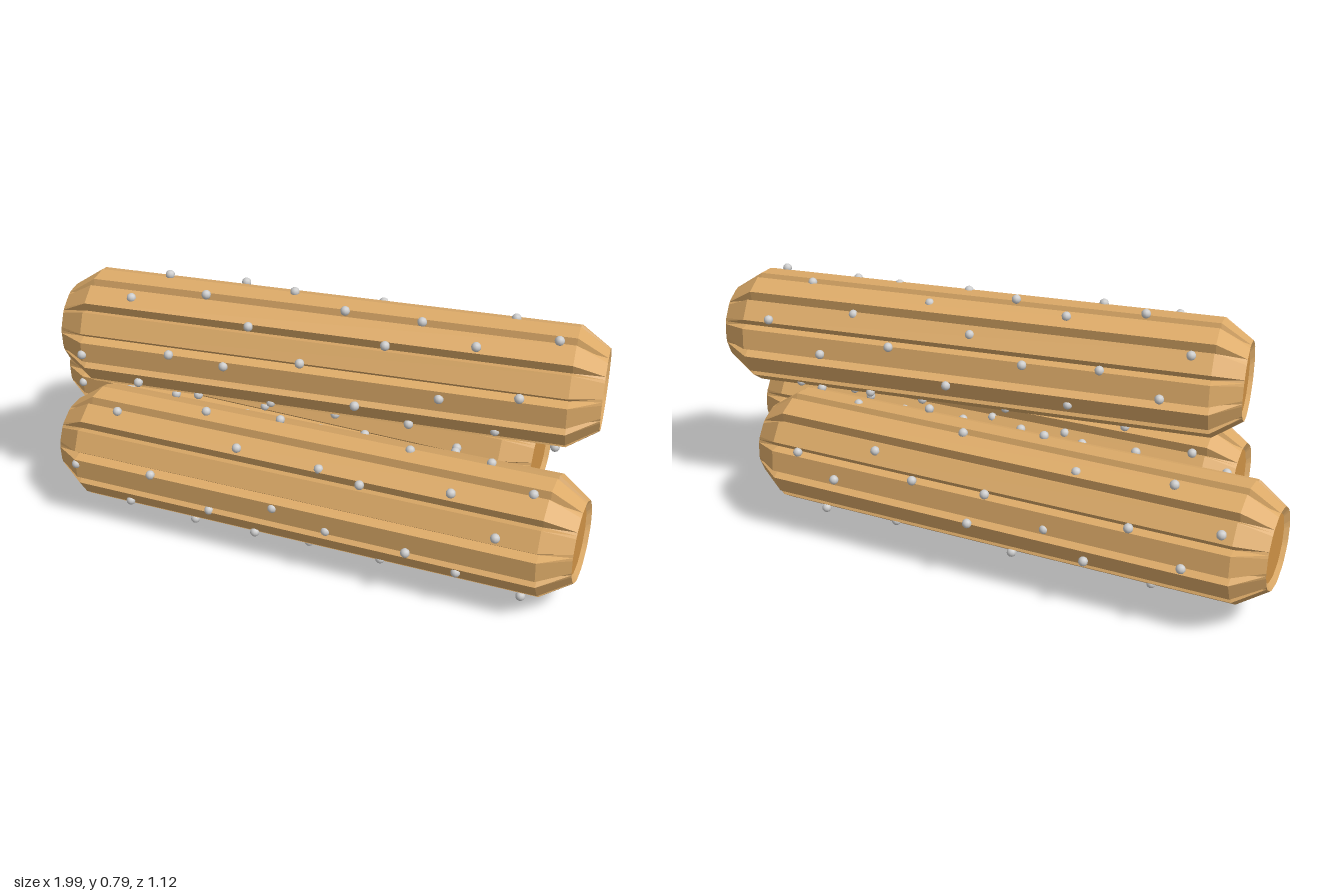
import * as THREE from 'three';

const LENGTH = 1.66, RIDGES = 12;
const R_TOP = 0.182, R_GROOVE = 0.152, R_RIM = 0.122, R_DISC = 0.102;
const BEVEL = 0.09, RECESS = 0.012;
const PHASE = THREE.MathUtils.degToRad(-5), HALF_FLAT = THREE.MathUtils.degToRad(10.5);

const crust = new THREE.MeshStandardMaterial({ color: 0xdcaa68, flatShading: true });
const dough = new THREE.MeshStandardMaterial({ color: 0xcf9246, flatShading: true });
const grain = new THREE.MeshStandardMaterial({ color: 0xcccccc });

// Small seeded generator for the scattered grains
function seeded(seed) {
  let s = seed;
  return () => (s = (s * 16807) % 2147483647) / 2147483647;
}

// Ridged stick: gear-shaped cross-sections along x, tapering to a rim at both ends
function stickGeometry() {
  const h = LENGTH / 2;
  const sections = [
    [-h + RECESS, R_DISC, R_DISC],
    [-h, R_RIM, R_RIM],
    [-h + BEVEL, R_TOP, R_GROOVE],
    [h - BEVEL, R_TOP, R_GROOVE],
    [h, R_RIM, R_RIM],
    [h - RECESS, R_DISC, R_DISC],
  ];
  const n = RIDGES * 3, positions = [], index = [];
  for (const [x, top, groove] of sections) {
    for (let k = 0; k < RIDGES; k++) {
      const mid = PHASE + (k / RIDGES) * Math.PI * 2;
      const corners = [[mid - HALF_FLAT, top], [mid + HALF_FLAT, top], [mid + Math.PI / RIDGES, groove]];
      for (const [a, r] of corners) positions.push(x, r * Math.sin(a), r * Math.cos(a));
    }
  }
  for (let i = 0; i < sections.length - 1; i++) {
    for (let j = 0; j < n; j++) {
      const a = i * n + j, d = i * n + ((j + 1) % n);
      index.push(a, a + n, d + n, a, d + n, d);
    }
  }
  const g = new THREE.BufferGeometry();
  g.setAttribute('position', new THREE.Float32BufferAttribute(positions, 3));
  g.setIndex(index);
  g.computeVertexNormals();
  return g;
}

export function createModel() {
  const model = new THREE.Group();
  model.name = 'stickPile';

  const stickGeo = stickGeometry();
  const discGeo = new THREE.CircleGeometry(R_DISC + 0.002, 36);
  const grainGeo = new THREE.SphereGeometry(0.0145, 10, 8);

  const sticks = [
    { name: 'backStick', pos: [-0.165, 0.26, -0.17], yaw: 16.8, tilt: 0, seed: 11 },
    { name: 'frontStick', pos: [0.17, 0.22, 0.145], yaw: 18.5, tilt: 0.35, seed: 57 },
    { name: 'topStick', pos: [0.102, 0.59, 0], yaw: 24.9, tilt: 0, seed: 93 },
  ];

  for (const { name, pos, yaw, tilt, seed } of sticks) {
    const stick = new THREE.Group();
    stick.name = name;
    stick.position.set(...pos);
    stick.rotation.set(0, THREE.MathUtils.degToRad(yaw), THREE.MathUtils.degToRad(tilt));

    const body = new THREE.Mesh(stickGeo, crust);
    body.name = 'ridgedBody';
    stick.add(body);

    // Recessed end discs
    for (const side of [-1, 1]) {
      const disc = new THREE.Mesh(discGeo, dough);
      disc.name = side > 0 ? 'leftEndDisc' : 'rightEndDisc';
      disc.position.x = side * (LENGTH / 2 - RECESS);
      disc.rotation.y = side * Math.PI / 2;
      stick.add(disc);
    }

    // Grains spread evenly around the stick, with a little jitter
    const grains = new THREE.Group();
    grains.name = 'saltGrains';
    const rand = seeded(seed);
    const addGrain = (x, a, r) => {
      const m = new THREE.Mesh(grainGeo, grain);
      m.name = 'grain';
      m.position.set(x, r * Math.sin(a), r * Math.cos(a));
      grains.add(m);
    };
    const count = 46;
    for (let i = 0; i < count; i++) {
      const x = ((i + 0.5) / count - 0.5) * (LENGTH - 0.2) + (rand() - 0.5) * 0.05;
      addGrain(x, i * 2.39996 + (rand() - 0.5) * 0.5, 0.174 + rand() * 0.018);
    }
    // The lowest grain touches the ground
    if (name === 'frontStick') addGrain(-0.4, -Math.PI / 2, 0.203);
    stick.add(grains);
    model.add(stick);
  }
  return model;
}
